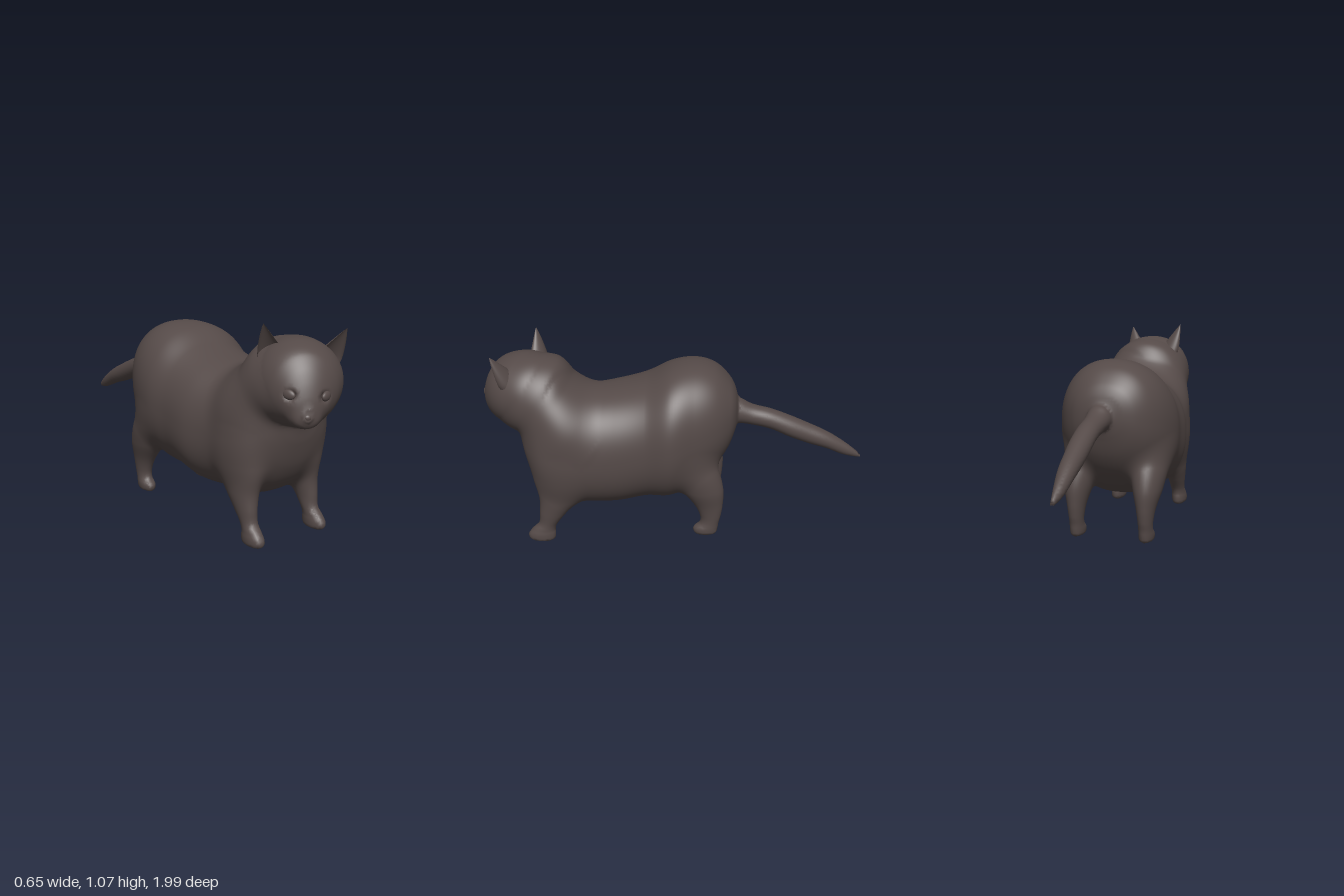
import * as THREE from 'three';

const fur = new THREE.MeshStandardMaterial({ color: 0x554a48, side: THREE.DoubleSide });
fur.name = 'dark brown fur';

function mesh(name, geometry) {
  const m = new THREE.Mesh(geometry, fur);
  m.name = name;
  return m;
}

// Distance rule for a limb made of oval rings. Section: [x, y, z, half width, half height].
// pitch 0 stands the rings up along +z, pitch PI/2 stacks them along +y.
function loft(sections, pitch = 0, power = 2) {
  const c = Math.cos(pitch), s = Math.sin(pitch);
  const knots = sections.map(([x, y, z, a, b]) => [y * s + z * c, x, y * c - z * s, a, b]);
  const n = knots.length - 1;
  const slopes = knots.map((_, i) => {
    const p = knots[Math.max(i - 1, 0)], q = knots[Math.min(i + 1, n)];
    return p.map((v, k) => (q[k] - v) / (q[0] - p[0]));
  });
  const ring = [0, 0, 0, 0, 0];
  return (x, y, z) => {
    const h = y * s + z * c, w = y * c - z * s;
    const inside = Math.min(Math.max(h, knots[0][0]), knots[n][0]);
    let i = 0;
    while (i < n - 1 && inside > knots[i + 1][0]) i++;
    const p = knots[i], q = knots[i + 1], len = q[0] - p[0], t = (inside - p[0]) / len;
    for (let k = 1; k < 5; k++) {
      ring[k] = p[k] + t * t * (3 - 2 * t) * (q[k] - p[k])
        + len * t * (1 - t) * ((1 - t) * slopes[i][k] - t * slopes[i + 1][k]);
    }
    const u = x - ring[1], v = w - ring[2];
    const a = Math.max(ring[3], 0.002), b = Math.max(ring[4], 0.002);
    const r = (Math.abs(u / a) ** power + Math.abs(v / b) ** power) ** (1 / power) + 1e-6;
    const side = Math.hypot(u, v) * (1 - 1 / r);
    const end = Math.max(knots[0][0] - h, h - knots[n][0]);
    return end > 0 ? Math.hypot(Math.max(side, 0), end) : Math.max(side, end);
  };
}

function oval(cx, cy, cz, rx, ry, rz) {
  return (x, y, z) => {
    const r = Math.hypot((x - cx) / rx, (y - cy) / ry, (z - cz) / rz) + 1e-6;
    return Math.hypot(x - cx, y - cy, z - cz) * (1 - 1 / r);
  };
}

// Soft union of two distances
function blend(a, b, k) {
  const h = Math.max(k - Math.abs(a - b), 0) / k;
  return Math.min(a, b) - h * h * k / 4;
}

// Wraps one smooth skin around a distance rule
function skin(field, min, max, step) {
  const n = min.map((v, i) => Math.ceil((max[i] - v) / step) + 1);
  const stride = [1, n[0], n[0] * n[1]];
  const value = new Float32Array(n[0] * n[1] * n[2]), vertex = new Int32Array(value.length);
  const pos = [], normal = [], index = [];
  const each = (from, fn) => {
    for (let k = from; k < n[2] - 1; k++) for (let j = from; j < n[1] - 1; j++)
      for (let i = from; i < n[0] - 1; i++) fn(i + j * stride[1] + k * stride[2], [i, j, k]);
  };
  value.fill(1);
  each(0, (id, g) => { value[id] = field(...g.map((v, a) => min[a] + v * step)); });
  const gradient = p => [0, 1, 2].map(a => {
    const q = [...p], e = 0.002;
    q[a] += e;
    const d = field(...q);
    q[a] -= 2 * e;
    return (d - field(...q)) / (2 * e);
  });
  // One point per crossed cell, pulled onto the surface
  each(0, (id, g) => {
    const sum = [0, 0, 0];
    let count = 0;
    for (let corner = 0; corner < 8; corner++) for (let a = 0; a < 3; a++) {
      if (corner >> a & 1) continue;
      const bits = [0, 1, 2].map(m => corner >> m & 1);
      const from = id + bits[0] + bits[1] * stride[1] + bits[2] * stride[2];
      const v0 = value[from], v1 = value[from + stride[a]];
      if (v0 < 0 === v1 < 0) continue;
      bits[a] = v0 / (v0 - v1);
      bits.forEach((b, m) => { sum[m] += b; });
      count++;
    }
    if (!count) return;
    let p = sum.map((v, a) => min[a] + (g[a] + v / count) * step), dir;
    for (let pass = 0; pass < 3; pass++) {
      dir = gradient(p);
      const size = Math.hypot(...dir) + 1e-6;
      dir = dir.map(v => v / size);
      const move = THREE.MathUtils.clamp(field(...p) / size, -step / 3, step / 3);
      p = p.map((v, a) => v - dir[a] * move);
    }
    vertex[id] = pos.length / 3;
    pos.push(...p);
    normal.push(...dir);
  });
  // One quad per crossed grid edge
  each(1, id => {
    for (let a = 0; a < 3; a++) {
      const inside = value[id] < 0;
      if (inside === value[id + stride[a]] < 0) continue;
      const u = stride[(a + 1) % 3], v = stride[(a + 2) % 3];
      const q = [id, id - u, id - u - v, id - v].map(c => vertex[c]);
      if (!inside) q.reverse();
      index.push(q[0], q[1], q[2], q[0], q[2], q[3]);
    }
  });
  const geometry = new THREE.BufferGeometry();
  geometry.setAttribute('position', new THREE.Float32BufferAttribute(pos, 3));
  geometry.setAttribute('normal', new THREE.Float32BufferAttribute(normal, 3));
  geometry.setIndex(index);
  return geometry;
}

// Cupped ear: a half cone rooted in the skull, open at the front
function ear(side) {
  const g = new THREE.PlaneGeometry(1, 1, 20, 12), p = g.attributes.position;
  for (let i = 0; i < p.count; i++) {
    const u = p.getX(i) * 3.6 - Math.PI / 2 - side * 0.05, v = p.getY(i) + 0.5;
    const r = (1 - v) ** 0.9;
    p.setXYZ(i, side * (0.108 + 0.085 * v ** 0.8) + Math.cos(u) * 0.082 * r,
      0.085 + 0.172 * v, 0.012 + 0.046 * v + Math.sin(u) * 0.05 * r);
  }
  g.computeVertexNormals();
  return mesh(side > 0 ? 'leftEar' : 'rightEar', g);
}

function blob(name, x, y, z, sx, sy, sz) {
  const m = mesh(name, new THREE.SphereGeometry(1, 24, 16));
  m.position.set(x, y, z);
  m.scale.set(sx, sy, sz);
  return m;
}

export function createModel() {
  const cat = new THREE.Group();
  cat.name = 'cat';

  // Head features; the head looks towards its right with a slight tilt
  const head = new THREE.Group();
  head.name = 'headFeatures';
  head.position.set(0.03, 0.8, 0.76);
  head.rotation.set(0, -0.47, -0.08, 'YXZ');
  for (const s of [1, -1]) {
    const eye = blob(s > 0 ? 'leftEye' : 'rightEye', s * 0.085, -0.022, 0.212, 0.034, 0.023, 0.014);
    eye.rotation.set(-0.1, s * 0.8, s * 0.15);
    head.add(ear(s), eye);
  }
  head.add(blob('nose', 0, -0.113, 0.253, 0.018, 0.015, 0.012));
  cat.add(head);

  const skull = loft([
    [0, 0, -0.23, 0.01, 0.01], [0, 0, -0.19, 0.12, 0.12], [0, 0, -0.1, 0.192, 0.182],
    [0, 0, 0, 0.212, 0.197], [0, -0.003, 0.08, 0.2, 0.19], [0, -0.015, 0.15, 0.162, 0.17],
    [0, -0.037, 0.195, 0.121, 0.135], [0, -0.062, 0.224, 0.086, 0.1],
    [0, -0.088, 0.244, 0.055, 0.064], [0, -0.103, 0.255, 0.02, 0.025],
  ]);
  const muzzle = oval(0, -0.128, 0.205, 0.066, 0.045, 0.05);
  const sockets = [1, -1].map(s => oval(s * 0.09, -0.022, 0.228, 0.036, 0.026, 0.022));
  head.updateMatrix();
  const toHead = head.matrix.clone().invert(), p = new THREE.Vector3();
  const headRule = (x, y, z) => {
    p.set(x, y, z).applyMatrix4(toHead);
    let d = blend(skull(p.x, p.y, p.z), muzzle(p.x, p.y, p.z), 0.03);
    for (const socket of sockets) d = -blend(-d, socket(p.x, p.y, p.z), 0.02);
    return d;
  };

  // Torso from rump to chest
  const torso = loft([
    [-0.02, 0.69, -0.328, 0.02, 0.02], [-0.02, 0.685, -0.31, 0.115, 0.11], [-0.025, 0.665, -0.27, 0.185, 0.195],
    [-0.025, 0.645, -0.2, 0.245, 0.275], [-0.02, 0.613, -0.1, 0.29, 0.333], [-0.005, 0.575, 0.02, 0.32, 0.355],
    [-0.008, 0.538, 0.15, 0.302, 0.328], [0, 0.503, 0.3, 0.3, 0.322], [0.025, 0.497, 0.45, 0.286, 0.313],
    [0.037, 0.51, 0.58, 0.284, 0.316], [0.04, 0.53, 0.68, 0.258, 0.27], [0.04, 0.565, 0.75, 0.195, 0.2],
    [0.04, 0.605, 0.792, 0.115, 0.11], [0.04, 0.62, 0.81, 0.015, 0.015],
  ], 0, 2.25);

  // Thick neck rising into the head
  const neck = loft([
    [0.037, 0.55, 0.45, 0.23, 0.17], [0.037, 0.64, 0.55, 0.262, 0.192], [0.037, 0.73, 0.64, 0.25, 0.192],
    [0.033, 0.79, 0.72, 0.22, 0.212], [0.03, 0.82, 0.775, 0.175, 0.18], [0.03, 0.84, 0.8, 0.12, 0.13],
  ], 0.65);

  // Legs from paw to shoulder or hip, mirrored about the line x = mid
  const foreleg = [
    [0.193, 0, 0.705, 0.022, 0.048], [0.193, 0.012, 0.708, 0.038, 0.068], [0.193, 0.04, 0.707, 0.042, 0.073],
    [0.192, 0.072, 0.695, 0.039, 0.06], [0.19, 0.105, 0.672, 0.039, 0.05], [0.19, 0.17, 0.643, 0.049, 0.07],
    [0.184, 0.25, 0.61, 0.067, 0.1], [0.17, 0.38, 0.59, 0.09, 0.14], [0.15, 0.55, 0.57, 0.09, 0.12],
    [0.13, 0.65, 0.56, 0.05, 0.06],
  ];
  const hindLeg = [
    [0.188, 0.02, -0.163, 0.022, 0.045], [0.188, 0.032, -0.163, 0.036, 0.061], [0.188, 0.06, -0.165, 0.04, 0.065],
    [0.188, 0.09, -0.183, 0.037, 0.051], [0.188, 0.13, -0.19, 0.039, 0.054], [0.188, 0.2, -0.18, 0.05, 0.074],
    [0.187, 0.3, -0.143, 0.077, 0.112], [0.176, 0.42, -0.085, 0.1, 0.138], [0.15, 0.55, -0.035, 0.1, 0.13],
    [0.12, 0.65, -0.02, 0.06, 0.07],
  ];
  const legs = [[foreleg, 0.0275], [hindLeg, -0.0275]].flatMap(([sections, mid]) =>
    [1, -1].map(s => loft(sections.map(([x, ...rest]) => [mid + s * x, ...rest]), Math.PI / 2)));

  // Tail from tip to root
  const tail = loft([
    [-0.03, 0.405, -0.995, 0.005, 0.007], [-0.03, 0.452, -0.9, 0.028, 0.036], [-0.025, 0.505, -0.8, 0.043, 0.047],
    [-0.02, 0.546, -0.7, 0.05, 0.055], [-0.015, 0.588, -0.6, 0.055, 0.058], [-0.013, 0.63, -0.5, 0.055, 0.054],
    [-0.013, 0.655, -0.4, 0.056, 0.055], [-0.015, 0.675, -0.33, 0.064, 0.068], [-0.02, 0.68, -0.25, 0.08, 0.09],
  ]);

  const body = (x, y, z) => {
    let d = blend(torso(x, y, z), neck(x, y, z), 0.07);
    d = blend(d, headRule(x, y, z), 0.06);
    for (const leg of legs) d = blend(d, leg(x, y, z), 0.06);
    return blend(d, tail(x, y, z), 0.05);
  };
  cat.add(mesh('body', skin(body, [-0.4, -0.04, -1.04], [0.4, 1.08, 1.06], 0.015)));
  return cat;
}
